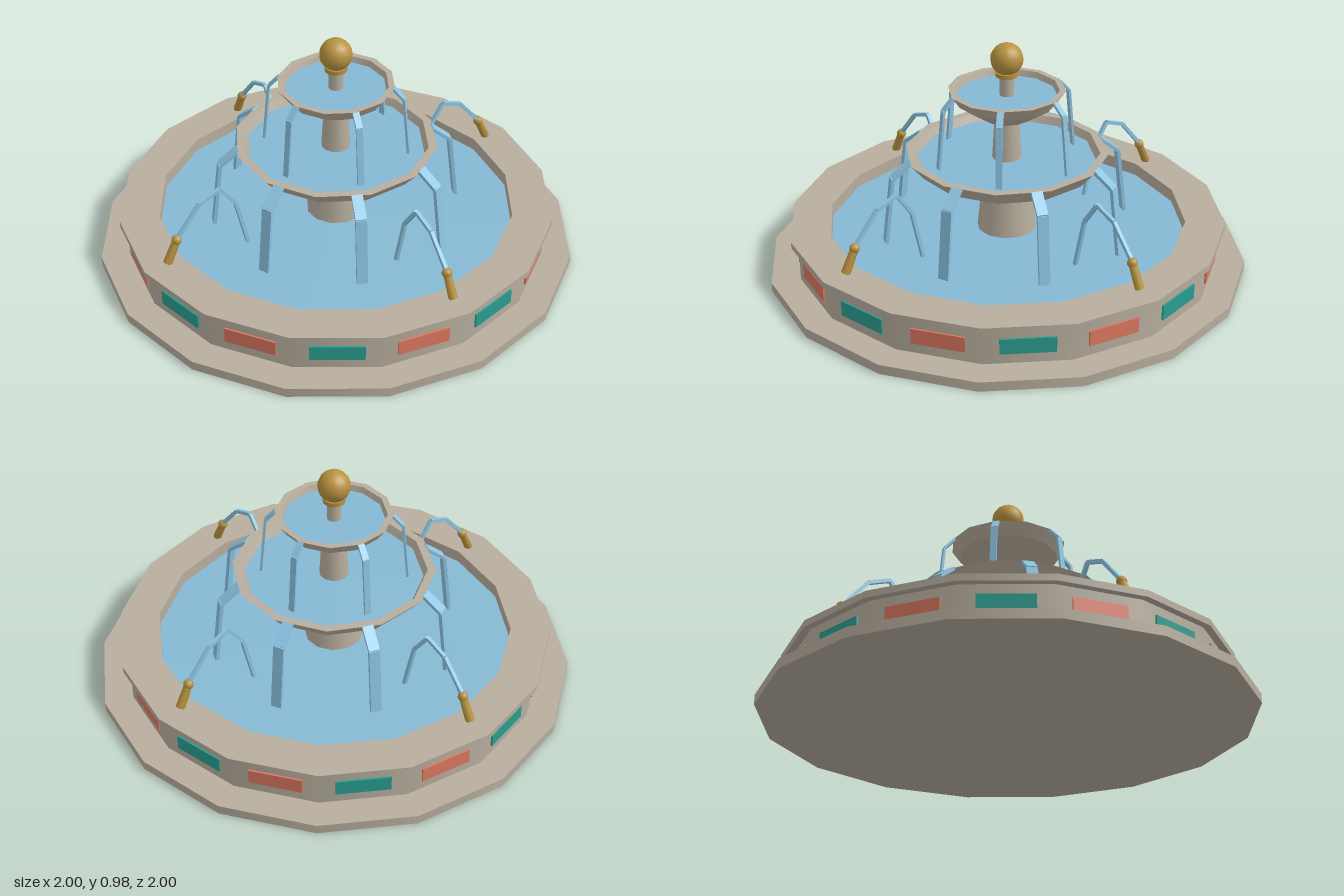
import * as THREE from 'three';
import { mergeGeometries } from 'three/addons/utils/BufferGeometryUtils.js';

const mat = (name, color) => Object.assign(new THREE.MeshStandardMaterial({ color }), { name });

export function createModel() {
  const stone = mat('stone', 0xb8ae9e);
  const water = mat('water', 0x86b8d3);
  const spray = mat('spray', 0x8cc4e2);
  const gold = mat('gold', 0xb8923f);
  const teal = mat('teal tile', 0x2a9d8f);
  const coral = mat('coral tile', 0xdc7860);

  const model = new THREE.Group();
  model.name = 'fountain';

  const add = (name, geometry, material, parent = model) => {
    const mesh = new THREE.Mesh(geometry, material);
    mesh.name = name;
    parent.add(mesh);
    return mesh;
  };

  // Turned part: round shading, crisp edge at every profile point
  const turned = (profile, sides) => mergeGeometries(profile.slice(1).map((p, i) =>
    new THREE.LatheGeometry([new THREE.Vector2(...profile[i]), new THREE.Vector2(...p)], sides)));

  const disc = (name, radius, y, sides) =>
    add(name, turned([[radius, y], [0, y]], sides), water);

  // Group whose local +z points outward at the given angle
  const spoke = (name, angle) => {
    const g = new THREE.Group();
    g.name = name;
    g.rotation.y = angle;
    model.add(g);
    return g;
  };

  // Falling water: straight pieces through [radius, height] points
  const stream = (name, path, width, thick, parent) => {
    for (let i = 1; i < path.length; i++) {
      const [r0, y0] = path[i - 1], [r1, y1] = path[i];
      const piece = add(name, new THREE.BoxGeometry(width, thick, Math.hypot(r1 - r0, y1 - y0)), spray, parent);
      piece.position.set(0, (y0 + y1) / 2, (r0 + r1) / 2);
      piece.rotation.x = -Math.atan2(y1 - y0, r1 - r0);
    }
  };

  // Pool with plinth, wall and overhanging rim
  add('pool', turned([[0, 0], [1, 0], [1, 0.04], [0.88, 0.04], [0.88, 0.187],
    [0.91, 0.187], [0.91, 0.214], [0.745, 0.214], [0.745, 0.14]], 16), stone);
  disc('poolWater', 0.745, 0.16, 16);

  // Wall tiles, alternating colours
  for (let k = 0; k < 16; k++) {
    const side = spoke('wallTile', (k + 0.5) * Math.PI / 8);
    add('tile', new THREE.BoxGeometry(0.215, 0.064, 0.009), k % 2 ? coral : teal, side)
      .position.set(0, 0.115, 0.866);
  }

  // Columns and bowls
  add('lowerColumn', turned([[0.125, 0.15], [0.105, 0.34]], 12), stone);
  add('lowerBowl', turned([[0, 0.335], [0.14, 0.335], [0.18, 0.35], [0.365, 0.445], [0.42, 0.51],
    [0.385, 0.51], [0.36, 0.46]], 12), stone);
  disc('lowerBowlWater', 0.37, 0.478, 12);
  add('upperColumn', turned([[0.062, 0.46], [0.05, 0.66]], 12), stone);
  add('upperBowl', turned([[0, 0.645], [0.065, 0.645], [0.1, 0.66], [0.205, 0.73], [0.24, 0.78],
    [0.215, 0.78], [0.2, 0.735]], 12), stone);
  disc('upperBowlWater', 0.207, 0.755, 12);

  // Finial
  add('finialStem', turned([[0.03, 0.74], [0.03, 0.84]], 10), stone);
  add('finialCollar', turned([[0, 0.836], [0.046, 0.836], [0.046, 0.854], [0, 0.854]], 12), gold);
  add('finialBall', new THREE.SphereGeometry(0.067, 16, 12), gold).position.y = 0.909;

  // Overflow from both bowls
  for (let k = 0; k < 8; k++)
    stream('lowerOverflow', [[0.405, 0.508], [0.485, 0.445], [0.52, 0.155]], 0.045, 0.014,
      spoke('lowerStream', (k + 0.5) * Math.PI / 4));
  for (let k = 0; k < 6; k++)
    stream('upperOverflow', [[0.235, 0.777], [0.278, 0.73], [0.303, 0.47]], 0.027, 0.01,
      spoke('upperStream', (k + 0.5) * Math.PI / 3));

  // Nozzles on the rim with arching jets
  for (let k = 0; k < 4; k++) {
    const jet = spoke('jet', (k + 0.5) * Math.PI / 2);
    const nozzle = add('nozzle', new THREE.CylinderGeometry(0.016, 0.019, 0.11, 8), gold, jet);
    nozzle.position.set(0, 0.265, 0.782);
    nozzle.rotation.x = -0.46;
    add('nozzleBall', new THREE.SphereGeometry(0.021, 10, 8), gold, jet).position.set(0, 0.31, 0.76);
    stream('jetWater', [[0.75, 0.325], [0.65, 0.44], [0.555, 0.475], [0.485, 0.375], [0.435, 0.155]],
      0.015, 0.015, jet);
  }

  return model;
}
